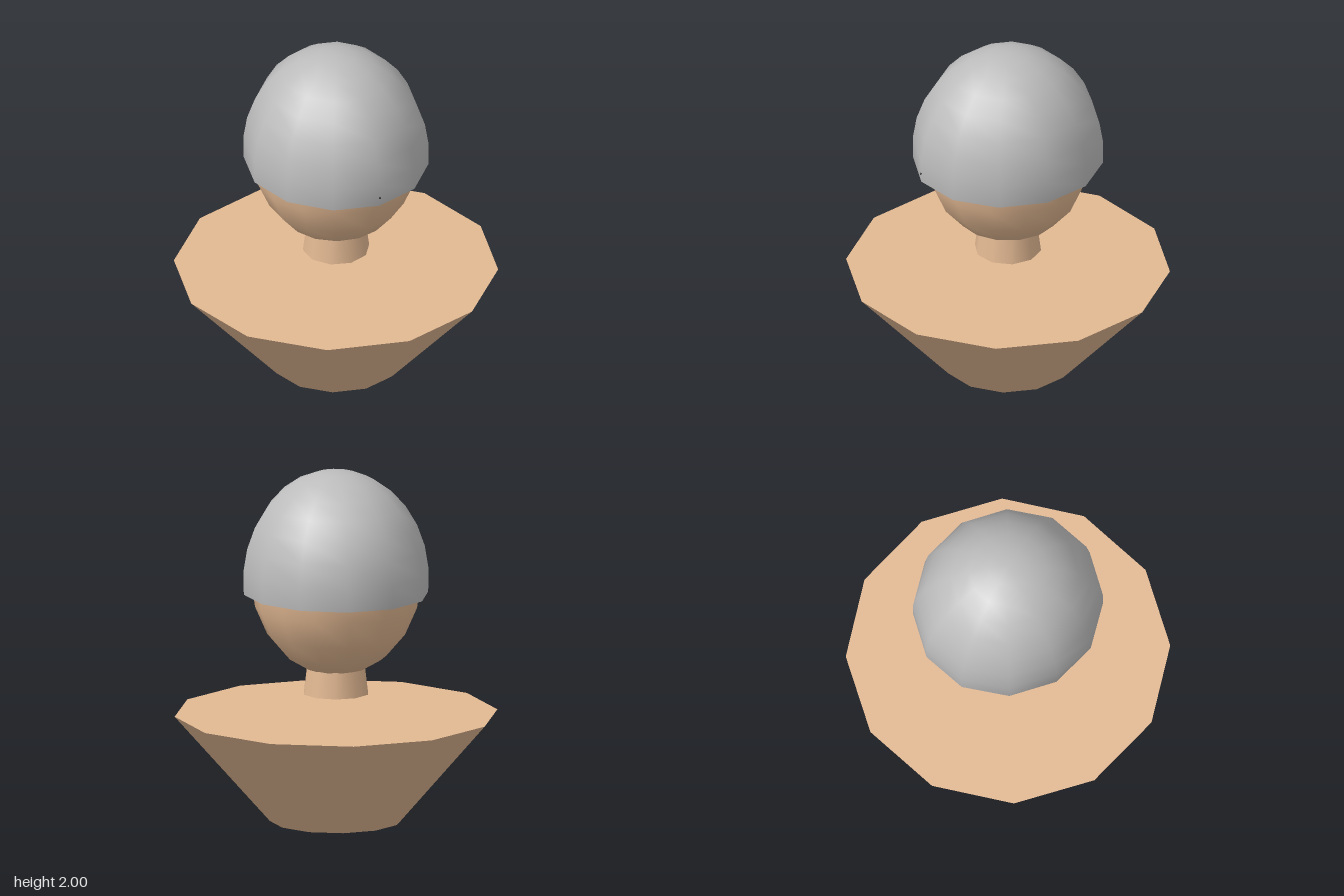
import * as THREE from 'three';

const skin = new THREE.MeshStandardMaterial({ name: 'skin', color: 0xe2b892 });
const capGrey = new THREE.MeshStandardMaterial({ name: 'capGrey', color: 0xbcbcbc, side: THREE.DoubleSide });
const dark = new THREE.MeshStandardMaterial({ name: 'dark', color: 0x2a2a2a });

export function createModel() {
  const group = new THREE.Group();
  const add = (name, geometry, material, x, y, z) => {
    const mesh = new THREE.Mesh(geometry, material);
    mesh.name = name;
    mesh.position.set(x, y, z);
    group.add(mesh);
    return mesh;
  };

  // Tapered torso, twelve sides, closed at both ends
  add('torso', new THREE.CylinderGeometry(0.91, 0.373, 0.61, 12), skin, 0, 0.305, 0);

  // Short neck floating above the torso
  add('neck', new THREE.CylinderGeometry(0.163, 0.188, 0.2, 10), skin, 0, 0.827, 0);

  // Egg-shaped head, with a ring vertex facing the front
  const headShape = new THREE.SphereGeometry(0.478, 14, 10);
  headShape.rotateY(Math.PI / 2);
  headShape.scale(1, 1.16, 1);
  add('head', headShape, skin, 0, 1.388, 0);

  // Open cap, ending just below its widest ring
  const capShape = new THREE.SphereGeometry(0.543, 12, 8, 0, Math.PI * 2, 0, Math.PI * 0.54);
  capShape.scale(0.95, 1.15, 1);
  add('cap', capShape, capGrey, 0, 1.3755, 0);

  // Tiny stud on the front of the cap
  add('stud', new THREE.SphereGeometry(0.006, 8, 6), dark, 0, 1.35, 0.542);

  return group;
}
